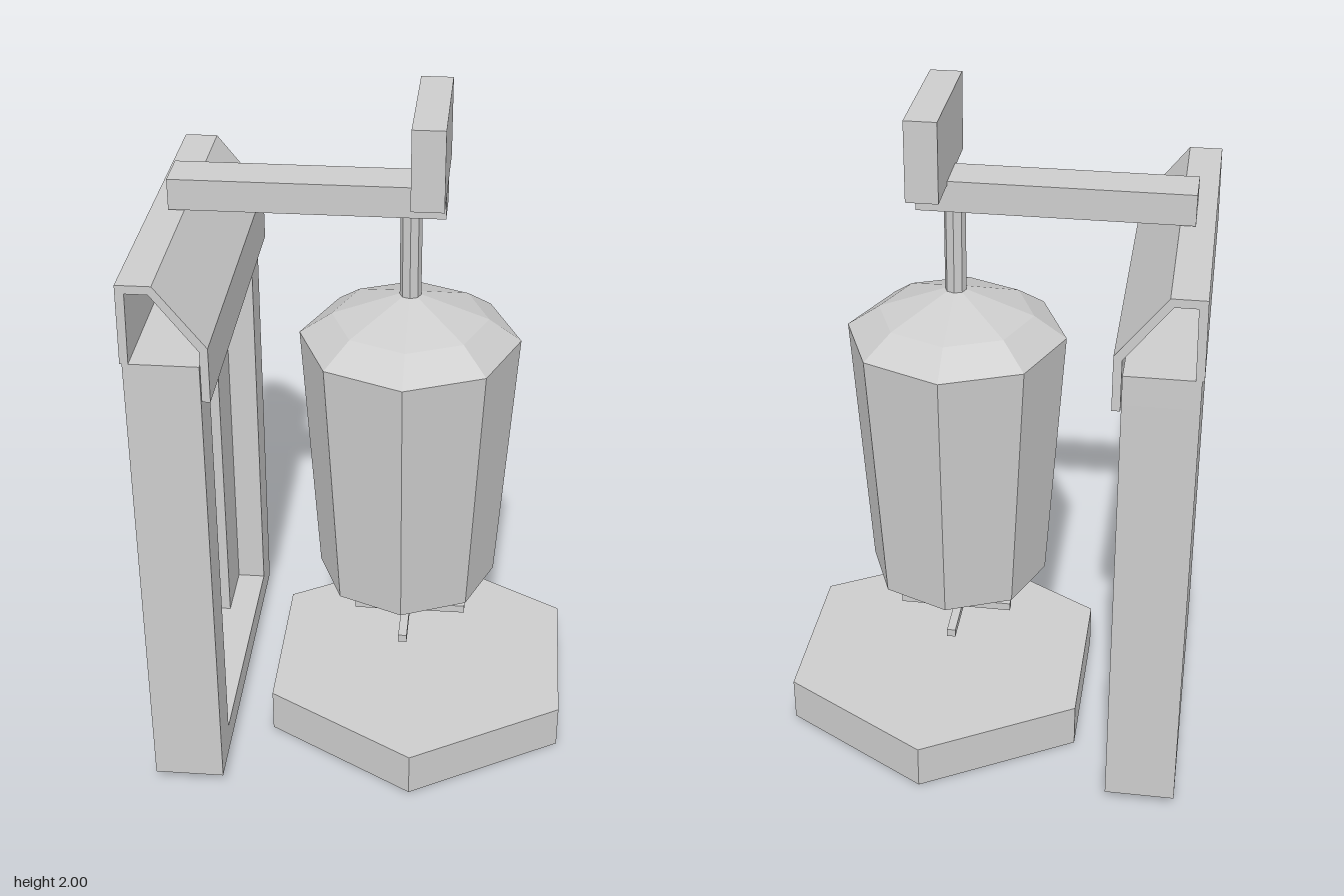
import * as THREE from 'three';

export function createModel() {
  const model = new THREE.Group();
  model.name = 'verticalGrill';

  const metal = new THREE.MeshStandardMaterial({ color: 0xcccccc });
  metal.name = 'light grey';

  // Axis of the spit
  const AX = 0.117, AZ = -0.007;

  // Adds a faceted mesh
  function add(name, geometry, parent = model) {
    const flat = geometry.index ? geometry.toNonIndexed() : geometry;
    flat.computeVertexNormals();
    const mesh = new THREE.Mesh(flat, metal);
    mesh.name = name;
    parent.add(mesh);
    return mesh;
  }

  // Box given by its limits on each axis
  function box(name, x0, x1, y0, y1, z0, z1, parent) {
    const mesh = add(name, new THREE.BoxGeometry(x1 - x0, y1 - y0, z1 - z0), parent);
    mesh.position.set((x0 + x1) / 2, (y0 + y1) / 2, (z0 + z1) / 2);
    return mesh;
  }

  // Upright prism between two heights
  function prism(name, r, y0, y1, sides, x, parent) {
    const mesh = add(name, new THREE.CylinderGeometry(r, r, y1 - y0, sides), parent);
    mesh.position.set(x, (y0 + y1) / 2, AZ);
    return mesh;
  }

  const shapeOf = (pts) => new THREE.Shape(pts.map(([x, y]) => new THREE.Vector2(x, y)));
  const extrude = (pts, depth) =>
    new THREE.ExtrudeGeometry(shapeOf(pts), { depth, bevelEnabled: false });

  // Hexagonal drip tray
  prism('baseTray', 0.515, 0, 0.137, 6, 0.163);

  // Tapered octagonal meat stack with a domed top
  const spit = new THREE.Group();
  spit.name = 'spit';
  model.add(spit);
  const profile = [[0, 0.48], [0.27, 0.48], [0.322, 1.287], [0.227, 1.353], [0.03, 1.425], [0, 1.43]];
  add('meat', new THREE.LatheGeometry(profile.map(([r, y]) => new THREE.Vector2(r, y)), 8), spit)
    .position.set(AX, 0, AZ);

  // Spit rods and cross-shaped foot
  prism('upperRod', 0.031, 1.40, 1.70, 8, AX, spit);
  prism('lowerRod', 0.015, 0.305, 0.49, 8, AX, spit);
  box('footBarAcross', -0.045, 0.302, 0.306, 0.331, AZ - 0.013, AZ + 0.013, spit);
  box('footBarAlong', AX - 0.013, AX + 0.013, 0.306, 0.331, -0.178, 0.17, spit);

  // Overhead arm and motor
  box('arm', -0.555, 0.216, 1.69, 1.78, -0.073, 0.06);
  box('motor', 0.126, 0.217, 1.77, 2.0, -0.21, 0.197);

  // Burner cabinet: stepped recess in plan, closed by a sill and a top rail
  const cabinet = new THREE.Group();
  cabinet.name = 'burnerCabinet';
  model.add(cabinet);
  const back = -0.605, front = -0.4, z0 = -0.51, z1 = 0.522;
  const plan = [
    [back, -z1], [front, -z1], [front, -0.396], [-0.487, -0.396],
    [-0.487, -0.2], [-0.56, -0.2], [-0.56, 0.19], [-0.487, 0.19],
    [-0.487, 0.382], [front, 0.382], [front, -z0], [back, -z0],
  ];
  const body = add('recessedBody', extrude(plan, 1.25).rotateX(-Math.PI / 2), cabinet);
  body.position.y = 0.12;
  box('sill', back, front, 0.035, 0.12, z0, z1, cabinet);
  box('topRail', back, front, 1.37, 1.455, z0, z1, cabinet);

  // Bent sheet hood, open at both ends
  const hood = [
    [-0.611, 1.455], [-0.588, 1.455], [-0.584, 1.66], [-0.522, 1.66],
    [-0.398, 1.5], [-0.398, 1.35], [-0.375, 1.35], [-0.375, 1.51],
    [-0.512, 1.684], [-0.608, 1.684],
  ];
  add('hood', extrude(hood, z1 - z0), cabinet).position.z = z0;

  return model;
}
